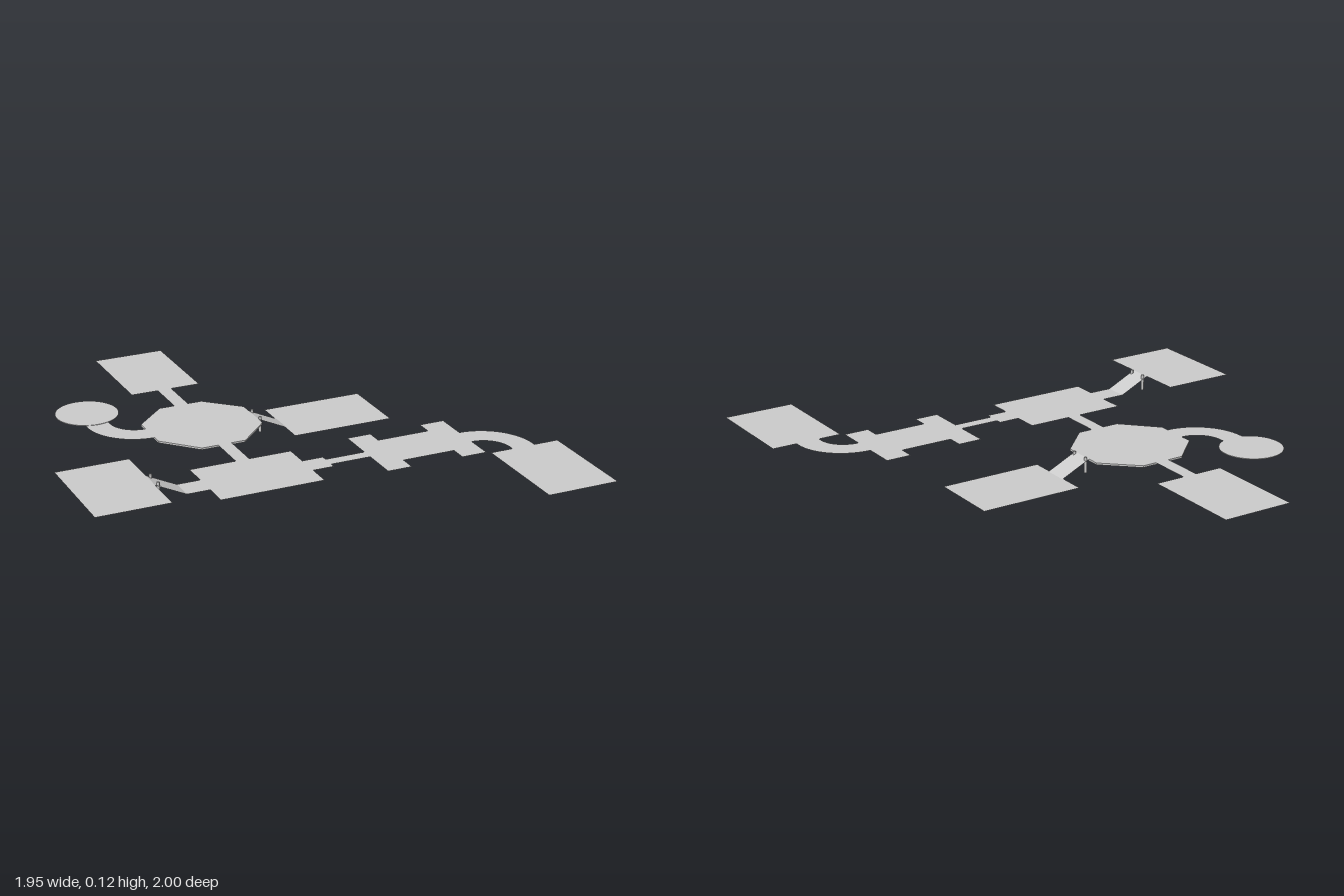
import * as THREE from 'three';

const LEVEL = 0.058;
const material = new THREE.MeshStandardMaterial({ color: 0xcccccc, side: THREE.DoubleSide });

export function createModel() {
  const model = new THREE.Group();

  function add(name, geometry, x = 0, y = 0, z = 0) {
    const mesh = new THREE.Mesh(geometry, material);
    mesh.name = name;
    mesh.position.set(x, y, z);
    model.add(mesh);
    return mesh;
  }

  // Outline given as [x, z] pairs on the ground plan
  const outline = (points) => new THREE.Shape(points.map(([x, z]) => new THREE.Vector2(x, -z)));

  // Paper-thin floor lying flat at height y
  const sheet = (name, shape, y = LEVEL) =>
    add(name, new THREE.ShapeGeometry(shape, 24).rotateX(-Math.PI / 2), 0, y, 0);

  const rect = (name, x0, x1, z0, z1, y) =>
    sheet(name, outline([[x0, z0], [x0, z1], [x1, z1], [x1, z0]]), y);

  // Quarter-ring walkway, angles measured in the plan with z downwards
  function bend(name, cx, cz, inner, outer, start) {
    const end = start + Math.PI / 2;
    const shape = new THREE.Shape();
    shape.absarc(cx, -cz, outer, start, end, false);
    shape.absarc(cx, -cz, inner, end, start, true);
    sheet(name, shape);
  }

  // Sloping walkway with a pair of posts at its upper end
  function ramp(name, x0, x1, z0, z1, low, high, postX) {
    const g = new THREE.PlaneGeometry(Math.hypot(x1 - x0, high - low), z1 - z0).rotateX(-Math.PI / 2);
    const mesh = add(name, g, (x0 + x1) / 2, (low + high) / 2, (z0 + z1) / 2);
    mesh.rotation.z = -Math.atan2(high - low, x1 - x0);
    for (const z of [z0 + 0.01, z1 - 0.01]) {
      const height = high + 0.007 - low;
      add(name + 'Post', new THREE.CylinderGeometry(0.006, 0.006, height, 16), postX, low + height / 2, z);
    }
  }

  // Octagonal hub, a shallow slab
  const octagon = outline([
    [-0.33, 0.055], [-0.145, 0.055], [-0.01, -0.08], [-0.01, -0.265],
    [-0.145, -0.39], [-0.33, -0.39], [-0.46, -0.265], [-0.46, -0.08],
  ]);
  add('octagonHub', new THREE.ExtrudeGeometry(octagon, { depth: 0.008, bevelEnabled: false })
    .rotateX(-Math.PI / 2), 0, LEVEL - 0.008, 0);

  // Rooms around the hub
  rect('backRoom', -0.38, -0.08, -1, -0.57);
  rect('backCorridor', -0.265, -0.205, -0.57, -0.39);
  rect('lowerRoom', 0.11, 0.54, -0.325, -0.025, 0);
  ramp('lowerRamp', -0.01, 0.115, -0.215, -0.115, 0, LEVEL, 0);

  // Curved walkway to the round platform
  bend('discWalkway', -0.46, -0.325, 0.11, 0.207, Math.PI);
  rect('discWalkwayEnd', -0.667, -0.57, -0.35, -0.325);
  add('roundPlatform', new THREE.CylinderGeometry(0.129, 0.129, 0.003, 48), -0.618, LEVEL, -0.463);

  // Central room with door stubs
  rect('frontCorridor', -0.262, -0.205, 0.055, 0.225);
  sheet('centralRoom', outline([
    [-0.455, 0.225], [-0.455, 0.33], [-0.55, 0.33], [-0.55, 0.428], [-0.455, 0.428], [-0.455, 0.528],
    [-0.028, 0.528], [-0.028, 0.428], [0.06, 0.428], [0.06, 0.33], [-0.028, 0.33], [-0.028, 0.225],
  ]));

  // Raised room and its ramp
  rect('raisedRoom', -0.975, -0.675, 0.16, 0.595, 0.118);
  ramp('raisedRamp', -0.675, -0.55, 0.33, 0.428, LEVEL, 0.118, -0.66);

  // Hall with wide ends
  rect('hallCorridor', 0.06, 0.228, 0.354, 0.405);
  sheet('hall', outline([
    [0.228, 0.205], [0.228, 0.555], [0.33, 0.555], [0.33, 0.487], [0.552, 0.487], [0.552, 0.555],
    [0.658, 0.555], [0.658, 0.205], [0.552, 0.205], [0.552, 0.273], [0.33, 0.273], [0.33, 0.205],
  ]));

  // Curved walkway to the front room
  bend('frontWalkway', 0.658, 0.55, 0.11, 0.21, 0);
  rect('frontWalkwayEnd', 0.768, 0.868, 0.55, 0.566);
  rect('frontRoom', 0.672, 0.972, 0.566, 1);

  return model;
}
